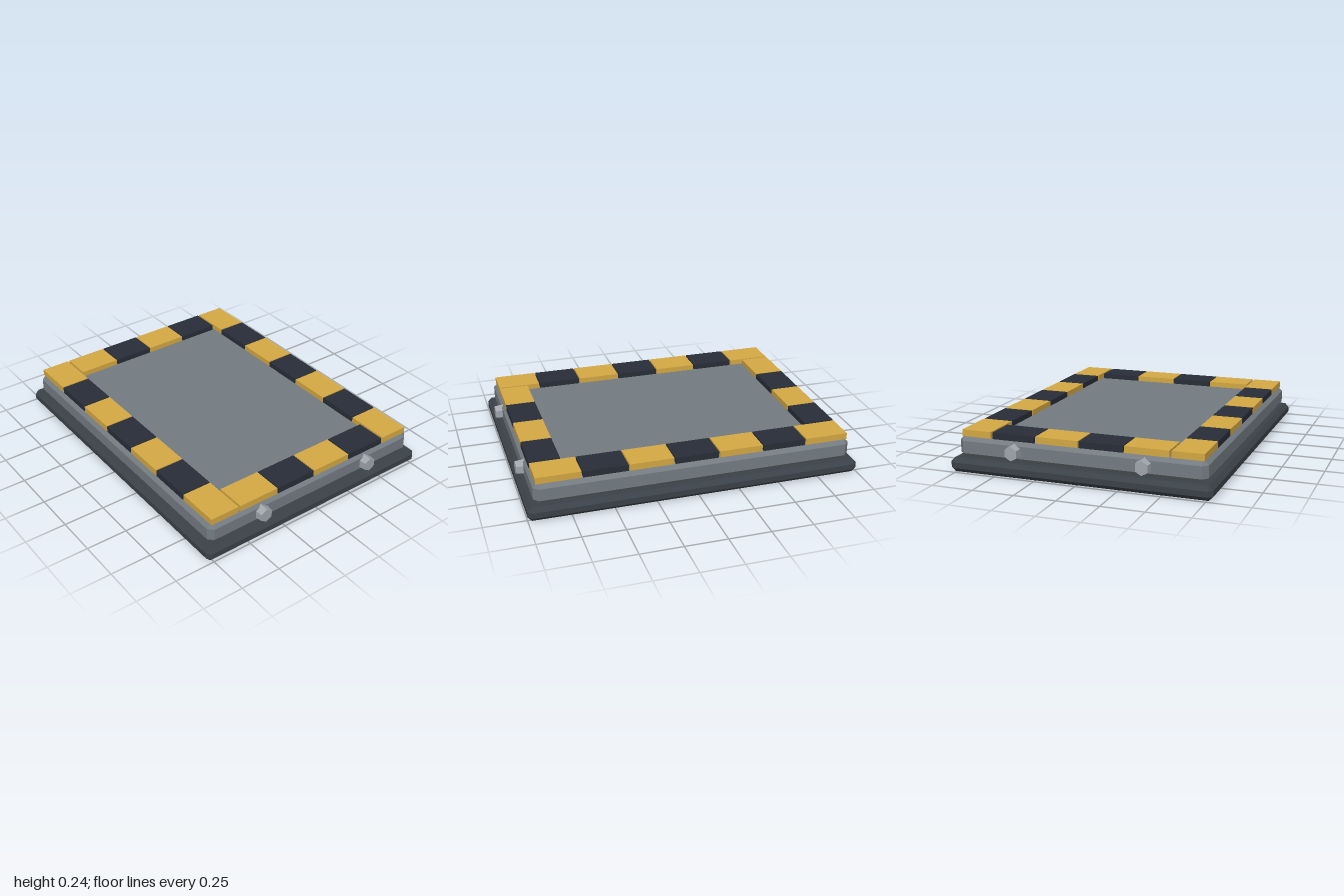
import * as THREE from 'three';
import { ConvexGeometry } from 'three/addons/geometries/ConvexGeometry.js';

const material = (color) => new THREE.MeshStandardMaterial({ color, flatShading: true });

// Box from y0 to y1 with every edge cut by the chamfer c
function chamferedBox(hx, hz, y0, y1, c) {
  const hy = (y1 - y0) / 2;
  const points = [];
  for (const sx of [-1, 1]) for (const sy of [-1, 1]) for (const sz of [-1, 1]) {
    for (const [a, b, d] of [[0, c, c], [c, 0, c], [c, c, 0]]) {
      points.push(new THREE.Vector3(sx * (hx - a), sy * (hy - b), sz * (hz - d)));
    }
  }
  return new ConvexGeometry(points).translate(0, y0 + hy, 0);
}

export function createModel() {
  const model = new THREE.Group();
  const baseMat = material(0x3a4148);
  const slabMat = material(0x737b82);
  const yellow = material(0xd4a843);
  const dark = material(0x282d38);
  const boltMat = material(0xa0a5ad);

  const add = (name, geometry, mat, x = 0, y = 0, z = 0) => {
    const mesh = new THREE.Mesh(geometry, mat);
    mesh.name = name;
    mesh.position.set(x, y, z);
    model.add(mesh);
    return mesh;
  };

  // Plinth and deck
  add('base', chamferedBox(1, 0.785, 0, 0.084, 0.025), baseMat);
  add('deck', chamferedBox(0.957, 0.745, 0.078, 0.211, 0.03), slabMat);

  // Hazard blocks along the front and back edges
  const padY = 0.225;
  const longPad = new THREE.BoxGeometry(0.263, 0.039, 0.183);
  for (const z of [-0.633, 0.633]) {
    for (let i = 0; i < 7; i++) {
      add(z > 0 ? 'frontHazardBlock' : 'backHazardBlock', longPad,
        i % 2 ? dark : yellow, (i - 3) * 0.27, padY, z);
    }
  }

  // Hazard blocks along both sides, bolts below them
  const sidePad = new THREE.BoxGeometry(0.183, 0.039, 0.26);
  const boltGeometry = new THREE.CylinderGeometry(0.042, 0.05, 0.07, 6);
  for (const side of [-1, 1]) {
    const label = side > 0 ? 'left' : 'right';
    for (let i = 0; i < 4; i++) {
      add(label + 'HazardBlock', sidePad, i % 2 ? yellow : dark,
        side * 0.851, padY, (i - 1.5) * 0.266);
    }
    for (const z of [-0.39, 0.39]) {
      const bolt = add(label + 'Bolt', boltGeometry, boltMat, side * 0.965, 0.146, z);
      bolt.rotation.set(0, 0, -side * Math.PI / 2);
      bolt.rotateY(Math.PI / 6);
    }
  }
  return model;
}
